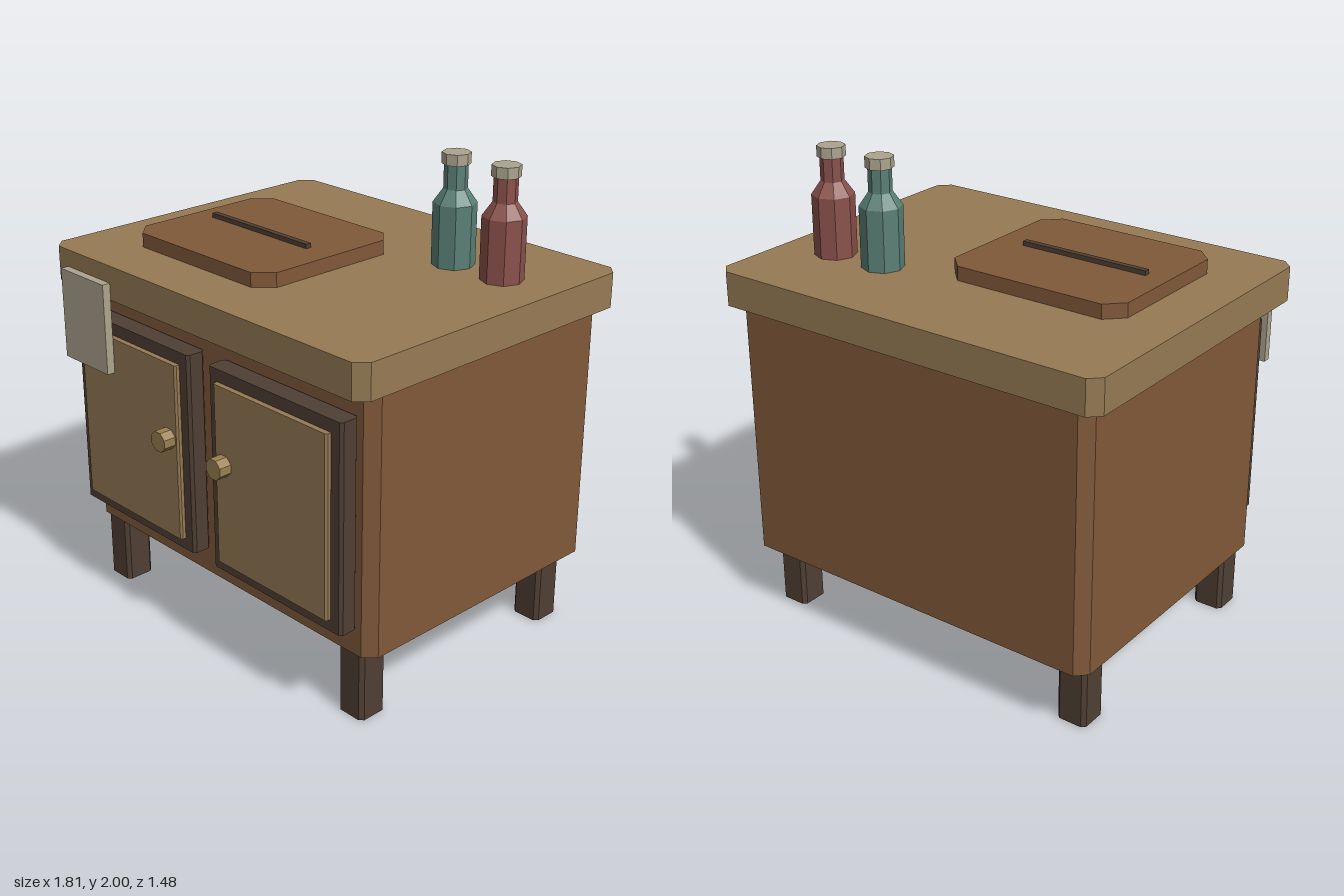
import * as THREE from 'three';

const mat = (color) => new THREE.MeshStandardMaterial({ color, flatShading: true });

export function createModel() {
  const group = new THREE.Group();
  const wood = mat(0x80593a), paleWood = mat(0x967a54), darkWood = mat(0x4f3f33);
  const brass = mat(0x9a8050), cloth = mat(0xaca48e);

  function add(name, geometry, material, x = 0, y = 0, z = 0, parent = group) {
    const mesh = new THREE.Mesh(geometry, material);
    mesh.name = name;
    mesh.position.set(x, y, z);
    parent.add(mesh);
    return mesh;
  }

  // Block between two corners with its four upright edges cut at 45 degrees
  function block(name, [x0, x1], [y0, y1], [z0, z1], c, material, parent) {
    const a = (x1 - x0) / 2, b = (z1 - z0) / 2;
    const outline = [[a - c, -b], [a, c - b], [a, b - c], [a - c, b],
      [c - a, b], [-a, b - c], [-a, c - b], [c - a, -b]];
    const shape = new THREE.Shape(outline.map(([x, z]) => new THREE.Vector2(x, z)));
    const geo = new THREE.ExtrudeGeometry(shape, { depth: y1 - y0, bevelEnabled: false });
    geo.rotateX(-Math.PI / 2);
    return add(name, geo, material, (x0 + x1) / 2, y0, (z0 + z1) / 2, parent);
  }

  // Carcass and worktop
  block('cabinetBody', [-0.85, 0.85], [0.295, 1.4], [-0.7, 0.575], 0.046, wood);
  block('worktop', [-0.907, 0.907], [1.4, 1.545], [-0.74, 0.69], 0.047, paleWood);

  // Legs
  for (const x of [-0.735, 0.735])
    for (const z of [-0.545, 0.5])
      block('leg', [x - 0.066, x + 0.066], [0, 0.295], [z - 0.066, z + 0.066], 0.016, darkWood);

  // Doors: dark frame, raised pale panel and an eight-sided knob
  const knobGeo = new THREE.CylinderGeometry(0.045, 0.045, 0.055, 8);
  knobGeo.rotateY(Math.PI / 8).rotateX(Math.PI / 2);
  for (const [name, x, knobX] of [['rightDoor', -0.428, -0.173], ['leftDoor', 0.424, 0.167]]) {
    const door = new THREE.Group();
    door.name = name;
    group.add(door);
    block('doorFrame', [x - 0.366, x + 0.366], [0.42, 1.287], [0.583, 0.667], 0.012, darkWood, door);
    block('doorPanel', [x - 0.312, x + 0.312], [0.472, 1.235], [0.66, 0.69], 0.008, paleWood, door);
    add('doorKnob', knobGeo, brass, knobX, 0.91, 0.717, door);
  }

  // Towel hanging from the worktop edge
  add('towel', new THREE.BoxGeometry(0.286, 0.386, 0.035), cloth, -0.658, 1.279, 0.708);

  // Chopping board with a dark strip on top
  block('choppingBoard', [-0.68, 0.132], [1.545, 1.605], [-0.27, 0.447], 0.07, wood);
  add('boardStrip', new THREE.BoxGeometry(0.58, 0.02, 0.026), darkWood, -0.291, 1.614, 0.088);

  // Bottles
  const profile = [[0, 0], [0.088, 0], [0.088, 0.255], [0.048, 0.312], [0.048, 0.42]]
    .map(([r, y]) => new THREE.Vector2(r, y));
  const bottleGeo = new THREE.LatheGeometry(profile, 8);
  const capGeo = new THREE.CylinderGeometry(0.058, 0.058, 0.045, 8);
  for (const [name, x, color] of [['greenBottle', 0.402, 0x5a8076], ['redBottle', 0.655, 0x8a514c]]) {
    const bottle = new THREE.Group();
    bottle.name = name;
    bottle.position.set(x, 1.545, -0.32);
    group.add(bottle);
    add('bottleGlass', bottleGeo, mat(color), 0, 0, 0, bottle);
    add('bottleCap', capGeo, cloth, 0, 0.4325, 0, bottle);
  }

  return group;
}
